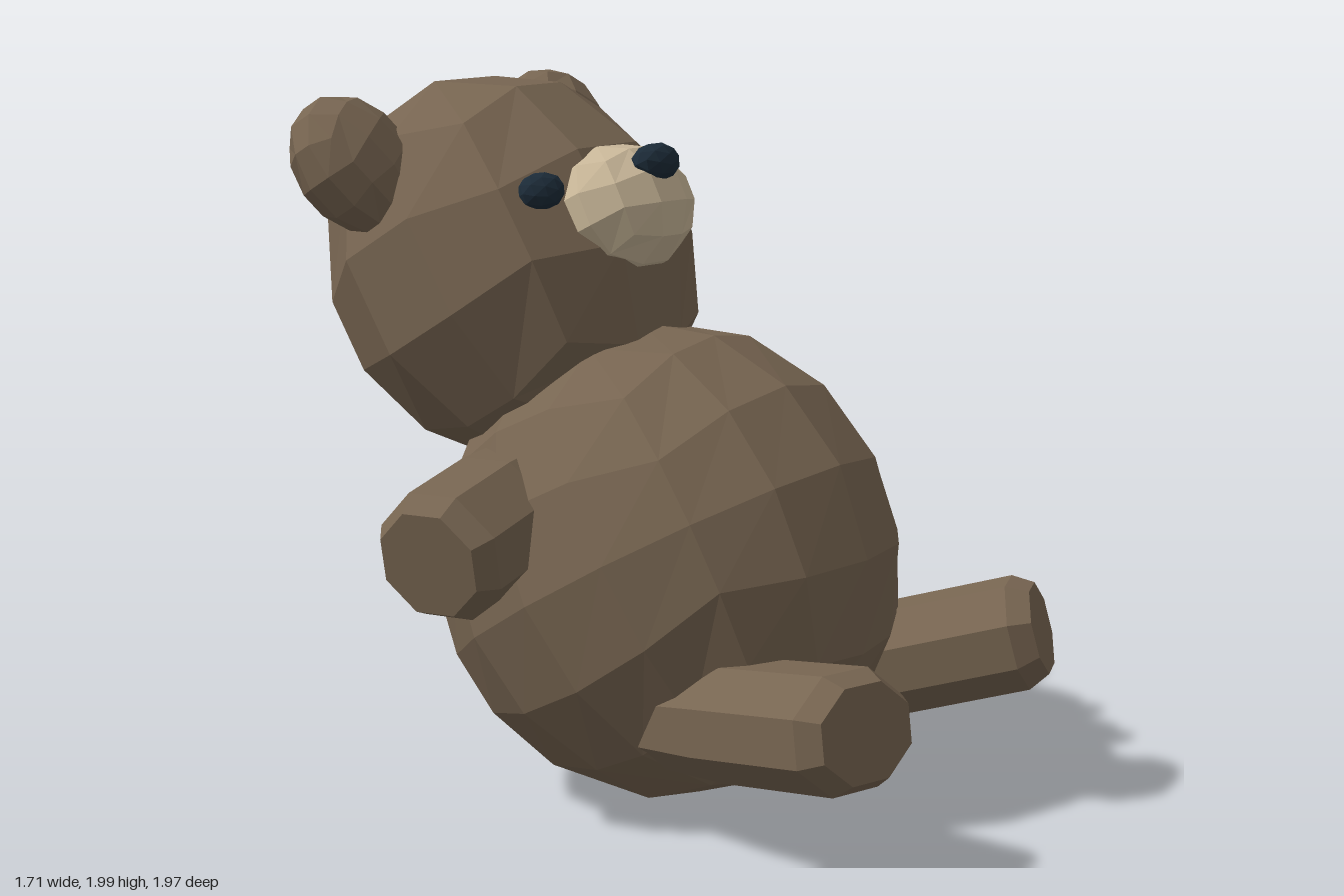
import * as THREE from 'three';

const mat = (name, color) => {
  const m = new THREE.MeshStandardMaterial({ color });
  m.name = name;
  return m;
};

// Faceted normals
function facet(geo) {
  const g = geo.index ? geo.toNonIndexed() : geo;
  g.computeVertexNormals();
  return g;
}

// Low-poly ellipsoid made from a subdivided box pushed out to a ball
function quadBall(n, rx, ry, rz) {
  const g = new THREE.BoxGeometry(2, 2, 2, n, n, n);
  const p = g.attributes.position;
  const v = new THREE.Vector3();
  for (let i = 0; i < p.count; i++) {
    v.fromBufferAttribute(p, i);
    v.set(...v.toArray().map((c) => Math.tan((c * Math.PI) / 4))).normalize();
    p.setXYZ(i, v.x * rx, v.y * ry, v.z * rz);
  }
  return facet(g);
}

export function createModel() {
  const bear = new THREE.Group();
  bear.name = 'teddyBear';
  const fur = mat('brownFur', 0x776551);
  const cream = mat('creamMuzzle', 0xc8b698);
  const dark = mat('darkEyes', 0x1c2b38);

  function add(name, geo, material, pos, rot = [0, 0, 0]) {
    const mesh = new THREE.Mesh(geo, material);
    mesh.name = name;
    mesh.position.set(...pos);
    mesh.rotation.set(...rot);
    bear.add(mesh);
    return mesh;
  }

  // Eight-sided limb running from a to b, with a chamfered flat tip
  function limb(name, a, b, rSide, rUp) {
    const from = new THREE.Vector3(...a);
    const to = new THREE.Vector3(...b);
    const len = from.distanceTo(to);
    const profile = [[0, 0], [0.85, 0], [1, len * 0.45], [1, len - 0.06], [0.8, len], [0, len]];
    const geo = new THREE.LatheGeometry(profile.map((q) => new THREE.Vector2(...q)), 8, Math.PI / 8);
    geo.scale(rSide, 1, rUp);
    const dir = to.clone().sub(from).normalize();
    const side = new THREE.Vector3().crossVectors(dir, new THREE.Vector3(0, 1, 0)).normalize();
    const up = new THREE.Vector3().crossVectors(side, dir);
    geo.applyMatrix4(new THREE.Matrix4().makeBasis(side, dir, up));
    add(name, facet(geo), fur, a);
  }

  // Body and head lean back
  const lean = -0.52;
  const headRot = [lean, 0.05, 0.06];
  add('body', quadBall(4, 0.63, 0.67, 0.66), fur, [0.02, 0.665, 0], [lean, 0, 0.04]);
  add('head', quadBall(3, 0.555, 0.57, 0.49), fur, [-0.06, 1.46, -0.49], headRot);

  // Ears
  add('leftEar', quadBall(3, 0.19, 0.205, 0.14), fur, [0.36, 1.815, -0.69], [lean, 0.1, -0.5]);
  add('rightEar', quadBall(3, 0.19, 0.205, 0.14), fur, [-0.54, 1.765, -0.645], [lean, 0.1, 0.6]);

  // Face
  add('muzzle', quadBall(3, 0.24, 0.185, 0.19), cream, [-0.05, 1.635, -0.115], [-0.45, 0.05, 0.03]);
  add('nose', facet(new THREE.IcosahedronGeometry(1, 1).scale(0.085, 0.055, 0.055)), dark,
    [-0.045, 1.77, 0.005], [-0.5, 0, 0.03]);
  for (const [name, x, y, z, s] of [
    ['leftEye', 0.22, 1.74, -0.195, 1],
    ['rightEye', -0.325, 1.7, -0.165, -1],
  ]) {
    add(name, facet(new THREE.IcosahedronGeometry(1, 1).scale(0.07, 0.053, 0.045)), dark,
      [x, y, z], [-0.45, s * 0.5, 0]);
  }

  // Arms and legs
  limb('leftArm', [0.25, 0.925, -0.235], [0.85, 0.885, -0.235], 0.19, 0.195);
  limb('rightArm', [-0.25, 0.89, -0.22], [-0.815, 0.77, -0.135], 0.19, 0.185);
  limb('leftLeg', [0.28, 0.27, 0.12], [0.6, 0.485, 0.86], 0.205, 0.16);
  limb('rightLeg', [-0.22, 0.3, 0.12], [-0.39, 0.415, 0.94], 0.205, 0.165);

  return bear;
}
